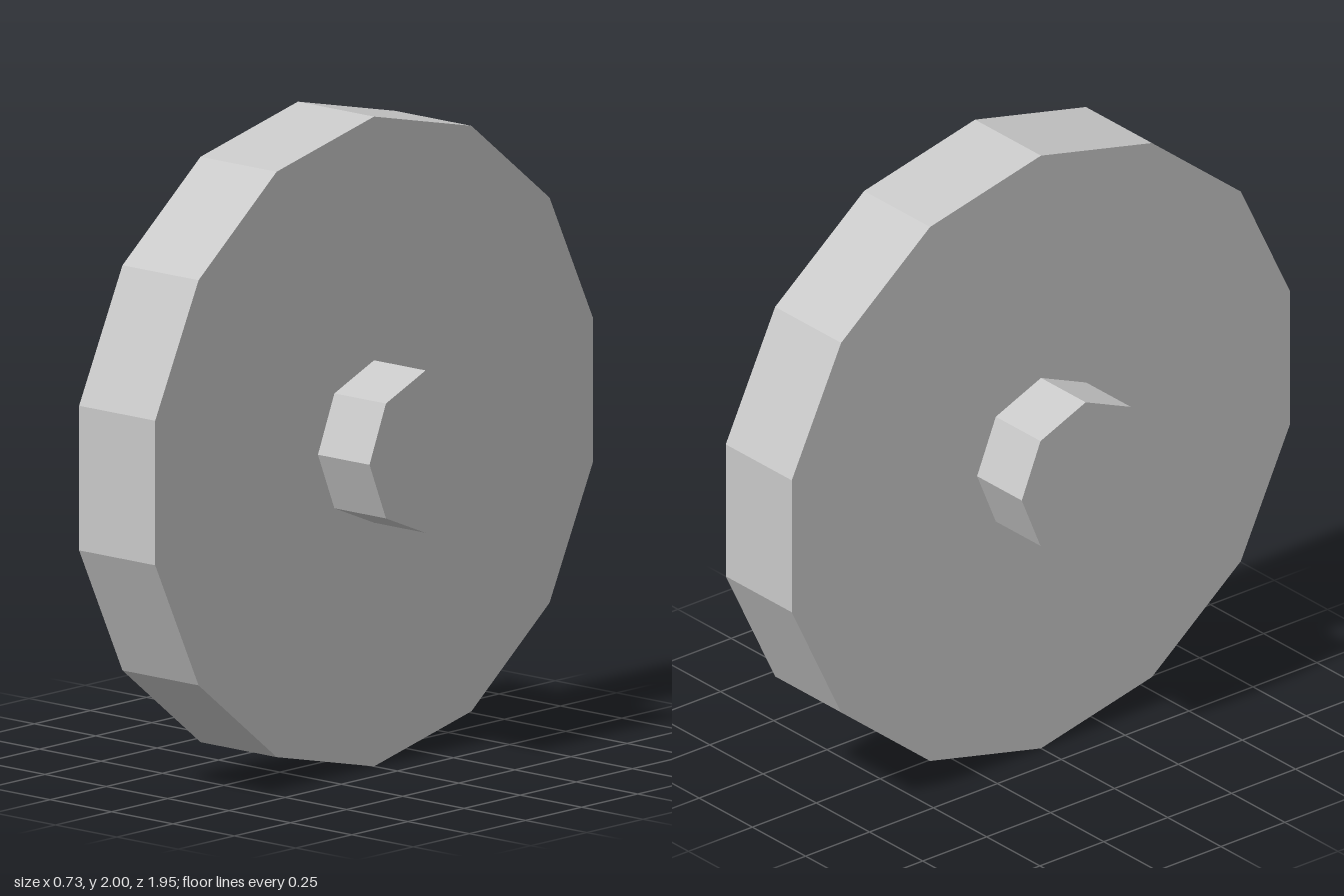
import * as THREE from 'three';

export function createModel() {
  const group = new THREE.Group();
  group.name = 'wheel';
  const grey = new THREE.MeshStandardMaterial({ color: 0xc8c8c8, flatShading: true });
  grey.name = 'light grey';

  // Faceted drum lying along x, with one corner pointing straight up
  function drum(name, radius, width, sides) {
    const geometry = new THREE.CylinderGeometry(radius, radius, width, sides, 1, false, Math.PI / 2);
    geometry.rotateZ(Math.PI / 2);
    const mesh = new THREE.Mesh(geometry, grey);
    mesh.name = name;
    mesh.position.y = 1;
    group.add(mesh);
  }

  // Wide disc, and the axle that passes through its centre
  drum('disc', 1, 0.31, 14);
  drum('axle', 0.25, 0.73, 8);

  return group;
}
